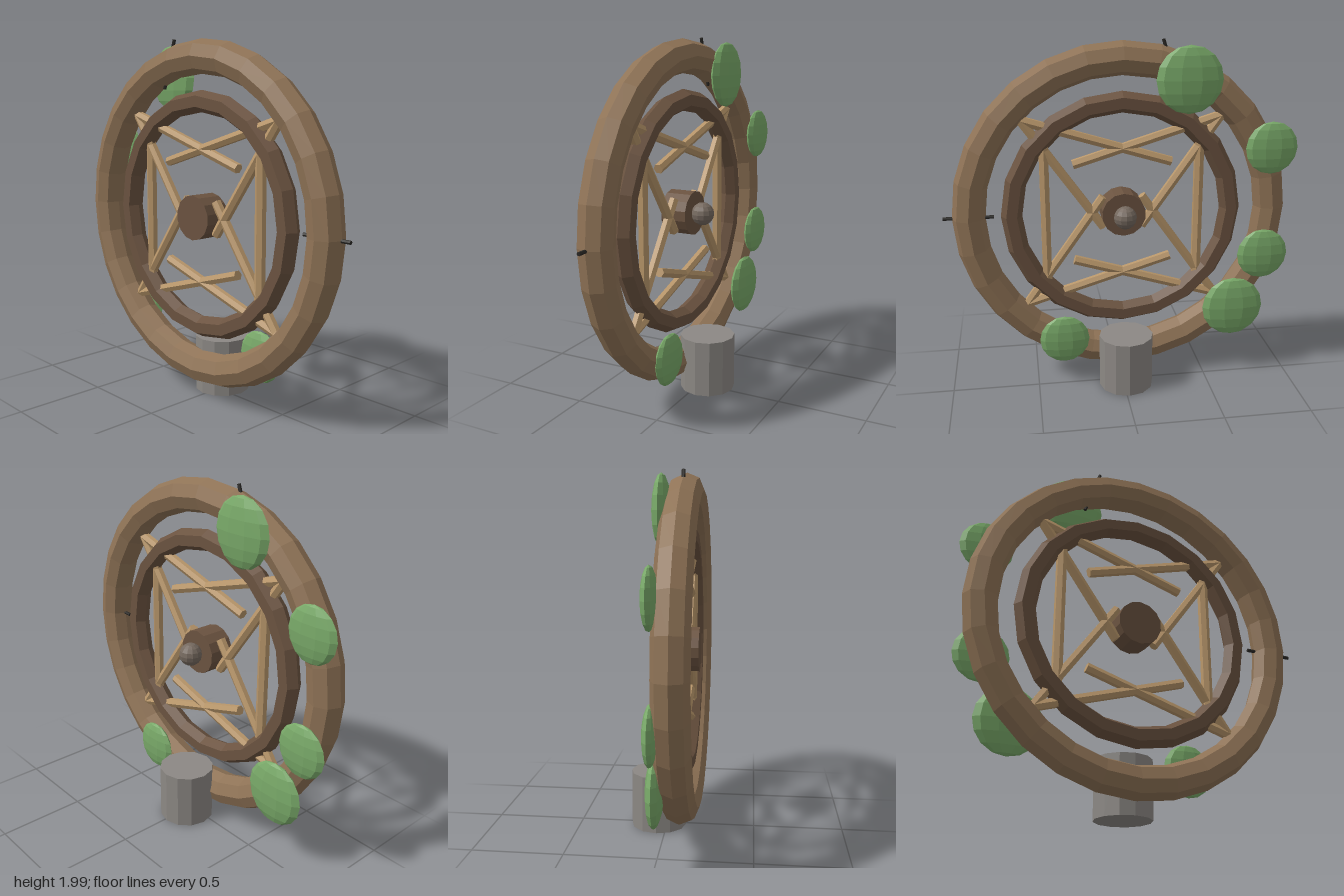
import * as THREE from 'three';

const CX = -0.015, CY = 1.03, CZ = 0.108; // wheel centre

const material = (color) => new THREE.MeshStandardMaterial({ color, flatShading: true });

function addMesh(parent, name, geometry, mat, x = 0, y = 0, z = 0) {
  const mesh = new THREE.Mesh(geometry, mat);
  mesh.name = name;
  mesh.position.set(x, y, z);
  parent.add(mesh);
  return mesh;
}

// Round rod between two points of the wheel plane
function addRod(parent, name, [x1, y1], [x2, y2], radius, sides, mat) {
  const dx = x2 - x1, dy = y2 - y1;
  const geometry = new THREE.CylinderGeometry(radius, radius, Math.hypot(dx, dy), sides);
  const rod = addMesh(parent, name, geometry, mat, (x1 + x2) / 2, (y1 + y2) / 2, 0);
  rod.rotation.z = Math.atan2(-dx, dy);
  return rod;
}

export function createModel() {
  const model = new THREE.Group();
  const wood = material(0x8f7356);
  const darkWood = material(0x6b5340);
  const paleWood = material(0xb8966a);
  const stone = material(0x8c8884);
  const pebble = material(0x75695f);
  const moss = material(0x78a868);
  const iron = material(0x2b2926);

  const wheel = new THREE.Group();
  wheel.name = 'wheel';
  wheel.position.set(CX, CY, CZ);
  model.add(wheel);

  // Rims and hub
  addMesh(wheel, 'outerRim', new THREE.TorusGeometry(0.867, 0.093, 8, 28), wood);
  addMesh(wheel, 'innerRim', new THREE.TorusGeometry(0.63, 0.06, 6, 20), darkWood);
  const hub = addMesh(wheel, 'hub', new THREE.CylinderGeometry(0.125, 0.125, 0.15, 14), darkWood);
  hub.rotation.x = Math.PI / 2;

  // Crossing lattice rods, mirrored left-right and top-bottom
  for (const sx of [-1, 1]) {
    for (const sy of [-1, 1]) {
      addRod(wheel, 'crossRod', [sx * 0.587, sy * 0.55], [sx * -0.28, sy * 0.285], 0.028, 6, paleWood);
      addRod(wheel, 'diagonalRod', [sx * 0.575, sy * 0.565], [sx * 0.11, sy * -0.09], 0.028, 6, paleWood);
    }
    addRod(wheel, 'uprightRod', [sx * 0.44, -0.41], [sx * 0.44, 0.41], 0.03, 6, paleWood);
  }

  // Iron pins through the outer rim
  addRod(wheel, 'pin', [0.727, 0], [1.01, 0], 0.01, 6, iron);
  addRod(wheel, 'pin', [-0.312, 0.693], [-0.224, 0.962], 0.01, 6, iron);

  // Knob behind the hub and stone footing
  addMesh(model, 'knob', new THREE.SphereGeometry(0.065, 12, 8), pebble, CX, CY, -0.015);
  addMesh(model, 'footing', new THREE.CylinderGeometry(0.157, 0.157, 0.32, 12), stone, CX, 0.16, -0.047);

  // Flattened moss clumps on the back: x, y, radius
  const clumps = [
    [-0.37, 1.785, 0.185], [-0.85, 1.395, 0.15], [-0.83, 0.76, 0.15],
    [-0.665, 0.43, 0.182], [0.34, 0.285, 0.145],
  ];
  for (const [x, y, r] of clumps) {
    const clump = addMesh(model, 'mossClump', new THREE.SphereGeometry(1, 10, 8), moss, x, y, 0.01);
    clump.scale.set(r, r, r * 0.25);
  }

  return model;
}
